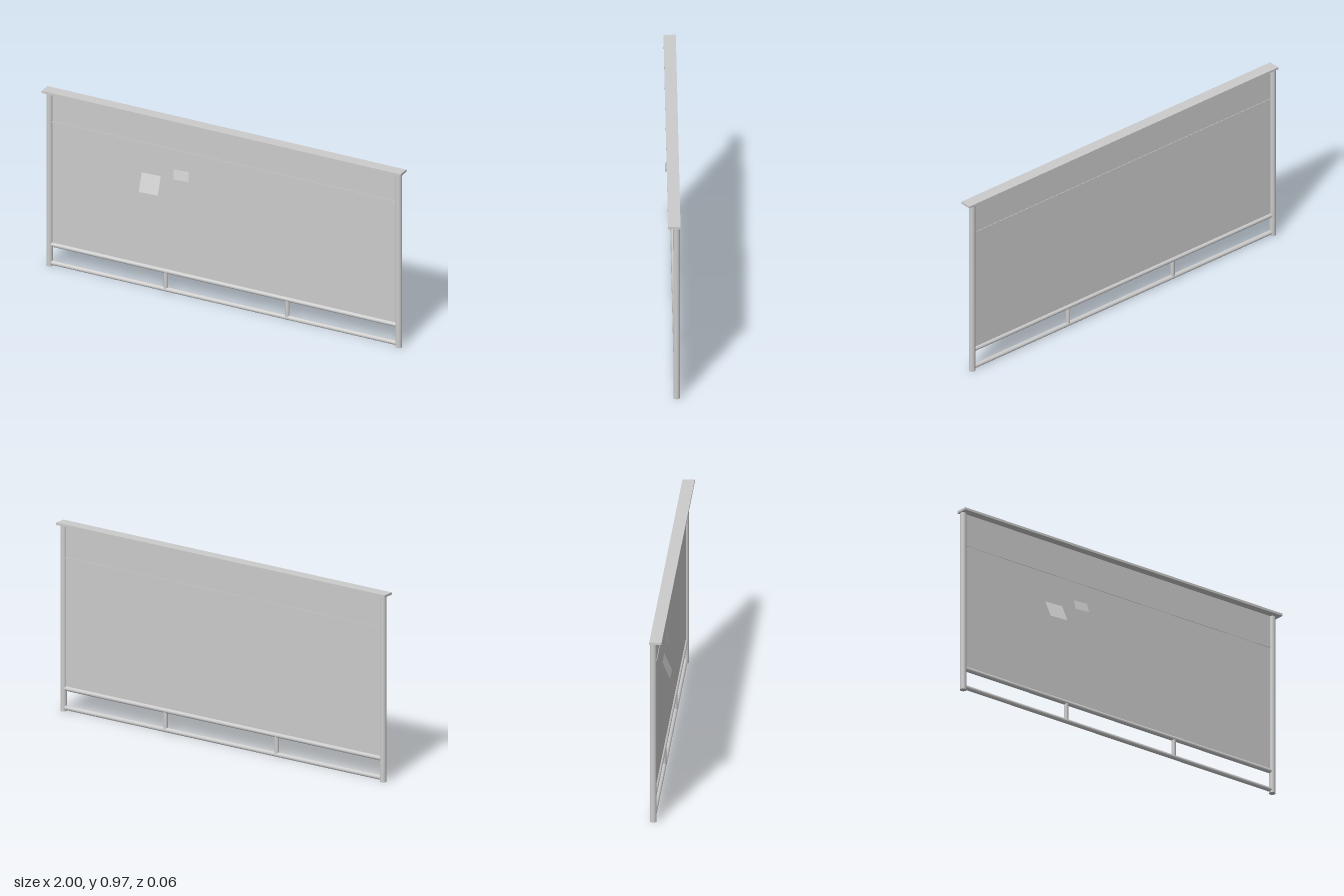
import * as THREE from 'three';

const Z = -0.012; // plane of the panels, posts and rails
const LEFT = -0.978, RIGHT = 0.968; // post centres

export function createModel() {
  const model = new THREE.Group();
  model.name = 'noticeBoard';
  const material = new THREE.MeshStandardMaterial({ color: 0xcccccc });
  const thin = new THREE.MeshStandardMaterial({ color: 0xcccccc, side: THREE.DoubleSide });

  const add = (name, geometry, x, y, z = Z, mat = material) => {
    const mesh = new THREE.Mesh(geometry, mat);
    mesh.name = name;
    mesh.position.set(x, y, z);
    model.add(mesh);
    return mesh;
  };
  const midX = (LEFT + RIGHT) / 2, span = RIGHT - LEFT;

  // Round end posts
  for (const [name, x] of [['rightPost', LEFT], ['leftPost', RIGHT]])
    add(name, new THREE.CylinderGeometry(0.0165, 0.0165, 0.96, 32), x, 0.48);

  // Horizontal tubes under the board
  for (const [name, y] of [['bottomRail', 0.018], ['lowerRail', 0.118]])
    add(name, new THREE.CylinderGeometry(0.012, 0.012, span, 24), midX, y).rotation.z = Math.PI / 2;

  // Short uprights between the tubes
  for (const x of [-0.33, 0.347])
    add('railStrut', new THREE.CylinderGeometry(0.011, 0.011, 0.1, 24), x, 0.068);

  // Two panels divided by a slim strip
  const panel = (name, y0, y1) =>
    add(name, new THREE.BoxGeometry(span, y1 - y0, 0.004), midX, (y0 + y1) / 2);
  panel('mainPanel', 0.118, 0.793);
  panel('headerPanel', 0.793, 0.96);
  add('dividerStrip', new THREE.BoxGeometry(span, 0.011, 0.009), midX, 0.793);

  // Flat cap board along the top
  add('topCap', new THREE.BoxGeometry(2, 0.012, 0.061), 0, 0.967, 0);

  // Paper notice: flat upper part, lower part lifting off the board
  const notice = (name, x, top, width, flat, flap, lift, tilt) => {
    const geometry = new THREE.PlaneGeometry(width, 1, 1, 2);
    const p = geometry.attributes.position;
    const rows = [[0, 0], [-flat, 0], [-flat - flap, lift]];
    for (let i = 0; i < p.count; i++) {
      const [y, z] = rows[Math.floor(i / 2)];
      p.setY(i, y);
      p.setZ(i, z);
    }
    const creased = geometry.toNonIndexed();
    creased.computeVertexNormals();
    add(name, creased, x, top, Z + 0.003, thin).rotation.z = tilt;
  };
  notice('largeNotice', -0.413, 0.698, 0.106, 0.066, 0.09, 0.038, 0.04);
  notice('smallNotice', -0.244, 0.718, 0.084, 0.028, 0.049, 0.012, 0.06);

  return model;
}
